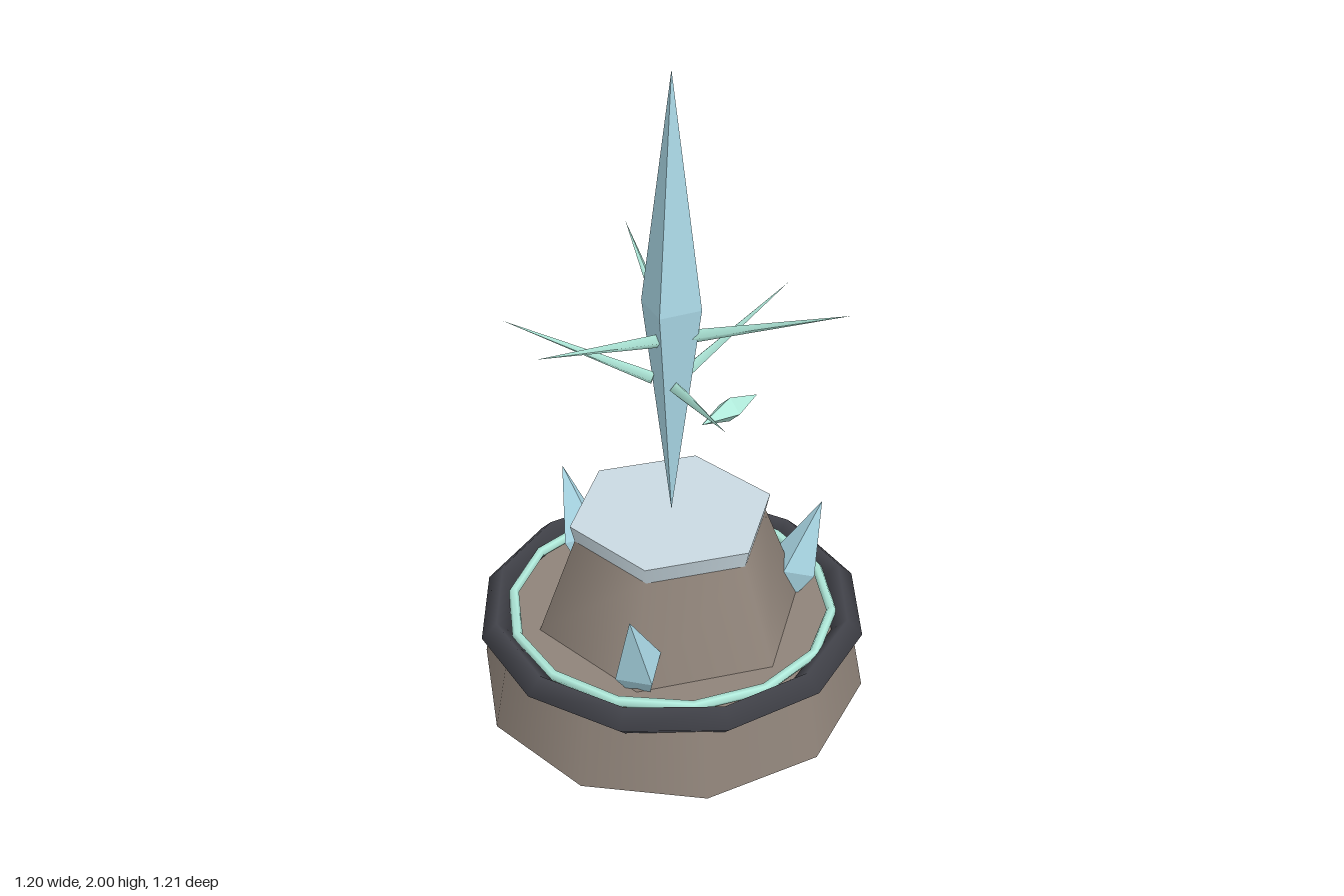
import * as THREE from 'three';

const material = (color, flatShading = false) => new THREE.MeshStandardMaterial({ color, flatShading });
const stone = material(0x8f8379);
const iron = material(0x42434a);
const mint = material(0xb0eadb);
const mintFacet = material(0xb0eadb, true);
const ice = material(0xaad8e6, true);
const pale = material(0xc9d9e1);

function add(parent, name, geometry, mat, x = 0, y = 0, z = 0) {
  const mesh = new THREE.Mesh(geometry, mat);
  mesh.name = name;
  mesh.position.set(x, y, z);
  parent.add(mesh);
  return mesh;
}

// Tapered prism standing between two heights
function tier(parent, name, rTop, rBottom, y0, y1, sides, mat) {
  return add(parent, name, new THREE.CylinderGeometry(rTop, rBottom, y1 - y0, sides), mat, 0, (y0 + y1) / 2);
}

// Flat ring lying on the base
function ring(parent, name, radius, tube, tubeSides, sides, y, mat) {
  const geometry = new THREE.TorusGeometry(radius, tube, tubeSides, sides).rotateX(Math.PI / 2);
  return add(parent, name, geometry, mat, 0, y);
}

// Double-ended four-sided gem, spun about its height before scaling
function gem(rx, ry, rz, spin = 0) {
  return new THREE.OctahedronGeometry(1, 0).rotateY(spin).scale(rx, ry, rz);
}

// Pivot whose local +x points outward at an angle measured from x towards z
function spoke(parent, name, degrees) {
  const pivot = new THREE.Group();
  pivot.name = name;
  pivot.rotation.y = -THREE.MathUtils.degToRad(degrees);
  parent.add(pivot);
  return pivot;
}

export function createModel() {
  const model = new THREE.Group();
  model.name = 'crystalPedestal';

  // Stepped stone pedestal with a pale cap
  tier(model, 'base', 0.56, 0.605, 0, 0.24, 10, stone);
  tier(model, 'plinth', 0.302, 0.42, 0.24, 0.55, 6, stone);
  tier(model, 'cap', 0.315, 0.302, 0.55, 0.605, 6, pale);

  // Dark rim and the thin glowing ring inside it
  ring(model, 'rimRing', 0.553, 0.048, 4, 12, 0.245, iron);
  ring(model, 'innerRing', 0.498, 0.016, 6, 14, 0.262, mint);

  // Floating main crystal
  add(model, 'mainCrystal', gem(0.092, 0.695, 0.092, 0.4), ice, 0, 1.305);

  // Six thin spikes around the crystal, alternating low and high
  for (let i = 0; i < 6; i++) {
    const high = i % 2 === 1;
    const start = new THREE.Vector2(0.055, high ? 1.212 : 1.06);
    const end = new THREE.Vector2(0.51, high ? 1.337 : 1.19);
    const pivot = spoke(model, 'spikeArm', i * 60);
    const length = start.distanceTo(end);
    const mid = start.clone().add(end).multiplyScalar(0.5);
    const spike = add(pivot, 'spike', new THREE.ConeGeometry(0.021, length, 4), mint, mid.x, mid.y);
    spike.rotation.z = end.clone().sub(start).angle() - Math.PI / 2;
  }

  // Three shards leaning outward from the foot of the plinth
  for (const [degrees, spin] of [[30, Math.PI / 4], [150, Math.PI / 4], [270, 0]]) {
    const pivot = spoke(model, 'shardMount', degrees);
    const shard = add(pivot, 'shard', gem(0.078, 0.24, 0.078, spin), ice, 0.4, 0.323);
    shard.rotation.z = -0.37;
  }

  // Small gem floating beside the crystal
  add(model, 'floatingGem', gem(0.125, 0.042, 0.042), mintFacet, 0.255, 0.85);

  return model;
}
